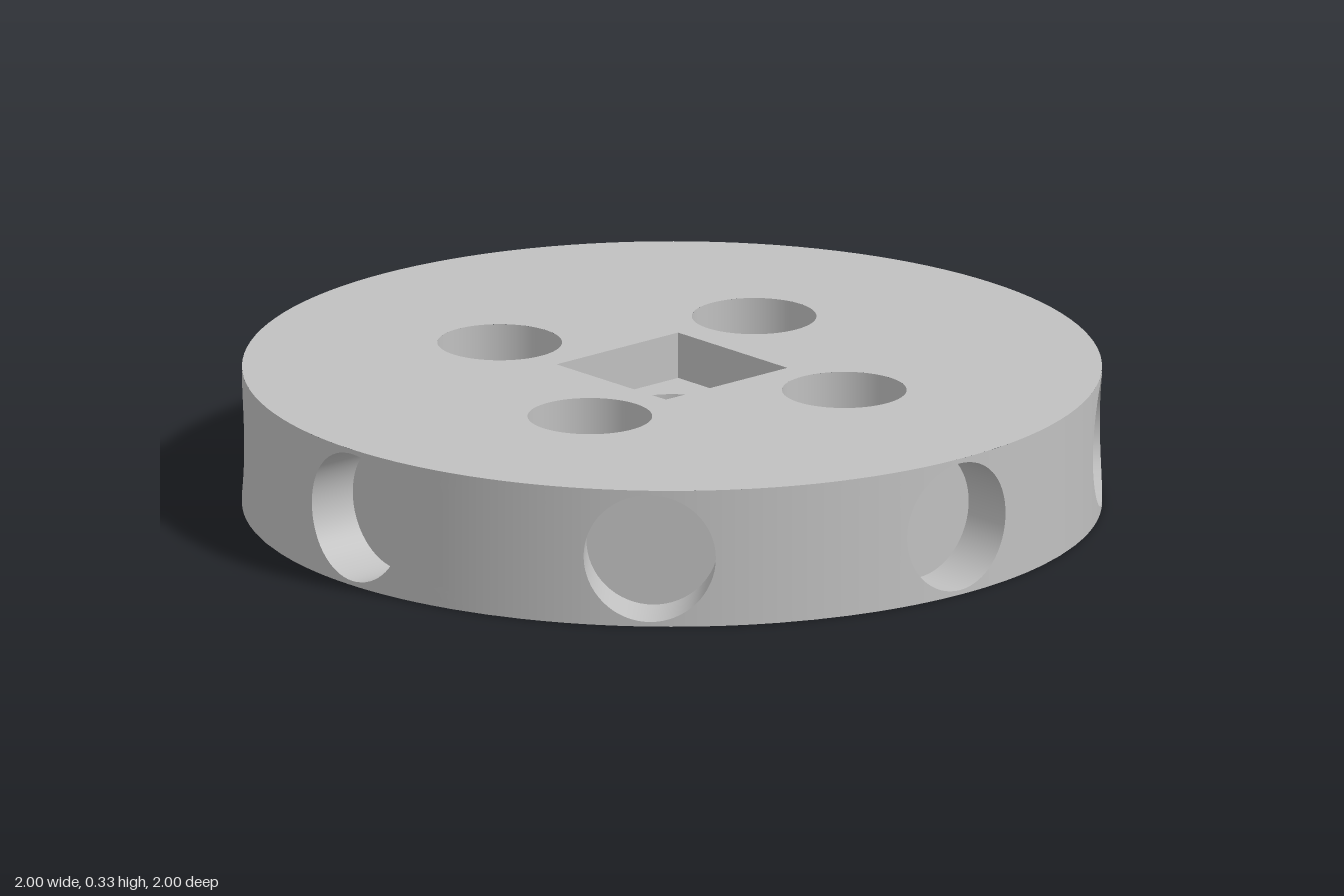
import * as THREE from 'three';
import { ParametricGeometry } from 'three/addons/geometries/ParametricGeometry.js';

const H = 0.33;          // disc height, radius is 1
const CENTRE_R = 0.138;  // central through hole
const SQUARE = 0.19;     // half side of the square pocket
const SQUARE_Y = 0.22;   // pocket floor
const BORE_R = 0.145;    // counterbores and their through holes
const BOLT_R = 0.083;
const BORE_Y = 0.165;
const SIDE_R = 0.154;    // blind holes around the rim
const SIDE_FLOOR = 0.86;
const BOLTS = [[0.41, -0.17], [-0.17, -0.41], [-0.41, 0.17], [0.17, 0.41]];

export function createModel() {
  const grey = new THREE.MeshStandardMaterial({ color: 0xc0c0c0 });
  grey.name = 'grey';
  const model = new THREE.Group();
  model.name = 'hubDisc';

  const add = (name, geometry, parent = model) => {
    const mesh = new THREE.Mesh(geometry, grey);
    mesh.name = name;
    parent.add(mesh);
    return mesh;
  };
  const circle = (x, y, r) => new THREE.Path().absarc(x, y, r, 0, Math.PI * 2, true);
  const square = () => [[-1, -1], [1, -1], [1, 1], [-1, 1]]
    .map(([x, y]) => new THREE.Vector2(x * SQUARE, y * SQUARE));
  // a two-point profile: descending walls face the axis, shrinking rings face up
  const turn = (r0, y0, r1, y1) => new THREE.LatheGeometry(
    [new THREE.Vector2(r0, y0), new THREE.Vector2(r1, y1)], 64);

  // flat faces of the disc
  const face = (boltR, zSign) => {
    const shape = new THREE.Shape().absarc(0, 0, 1, 0, Math.PI * 2, false);
    for (const [x, z] of BOLTS) shape.holes.push(circle(x, z * zSign, boltR));
    return shape;
  };
  const top = face(BORE_R, -1);
  top.holes.push(new THREE.Path(square()));
  add('topFace', new THREE.ShapeGeometry(top, 64).rotateX(-Math.PI / 2)).position.y = H;
  const bottom = face(BOLT_R, 1);
  bottom.holes.push(circle(0, 0, CENTRE_R));
  add('bottomFace', new THREE.ShapeGeometry(bottom, 64).rotateX(Math.PI / 2));

  // square pocket with the central hole in its floor
  const pocketFloor = new THREE.Shape(square());
  pocketFloor.holes.push(circle(0, 0, CENTRE_R));
  add('pocketFloor', new THREE.ShapeGeometry(pocketFloor, 32).rotateX(-Math.PI / 2))
    .position.y = SQUARE_Y;
  for (let i = 0; i < 4; i++) {
    const wall = new THREE.PlaneGeometry(SQUARE * 2, H - SQUARE_Y)
      .translate(0, (H + SQUARE_Y) / 2, -SQUARE).rotateY(i * Math.PI / 2);
    add('pocketWall', wall);
  }
  add('centreHole', turn(CENTRE_R, SQUARE_Y, CENTRE_R, 0));

  // counterbored bolt holes
  for (const [x, z] of BOLTS) {
    const hole = new THREE.Group();
    hole.name = 'boltHole';
    hole.position.set(x, 0, z);
    add('counterboreWall', turn(BORE_R, H, BORE_R, BORE_Y), hole);
    add('counterboreFloor', turn(BORE_R, BORE_Y, BOLT_R, BORE_Y), hole);
    add('boltWall', turn(BOLT_R, BORE_Y, BOLT_R, 0), hole);
    model.add(hole);
  }

  // one eighth of the rim, stretched from the round hole out to its borders
  const k = Math.tan(Math.PI / 8);
  const rim = new ParametricGeometry((u, v, p) => {
    const c = Math.cos(-u * Math.PI * 2), s = Math.sin(-u * Math.PI * 2);
    const m = Math.max(Math.abs(c) * k, Math.abs(s));
    const angle = THREE.MathUtils.lerp(Math.asin(SIDE_R * c), Math.PI / 8 * c * k / m, v);
    const y = THREE.MathUtils.lerp(SIDE_R * s, H / 2 * s / m, v);
    p.set(Math.sin(angle), H / 2 + y, Math.cos(angle));
  }, 64, 6);
  // bore wall from the curved rim to the flat floor
  const bore = new ParametricGeometry((u, v, p) => {
    const x = SIDE_R * Math.cos(u * Math.PI * 2), y = SIDE_R * Math.sin(u * Math.PI * 2);
    p.set(x, H / 2 + y, THREE.MathUtils.lerp(Math.sqrt(1 - x * x), SIDE_FLOOR, v));
  }, 64, 1);
  const floor = new THREE.CircleGeometry(SIDE_R, 64).translate(0, H / 2, SIDE_FLOOR);

  for (let i = 0; i < 8; i++) {
    const section = new THREE.Group();
    section.name = 'rimSection';
    section.rotation.y = i * Math.PI / 4;
    add('rimSurface', rim, section);
    add('sideHoleWall', bore, section);
    add('sideHoleFloor', floor, section);
    model.add(section);
  }
  return model;
}
